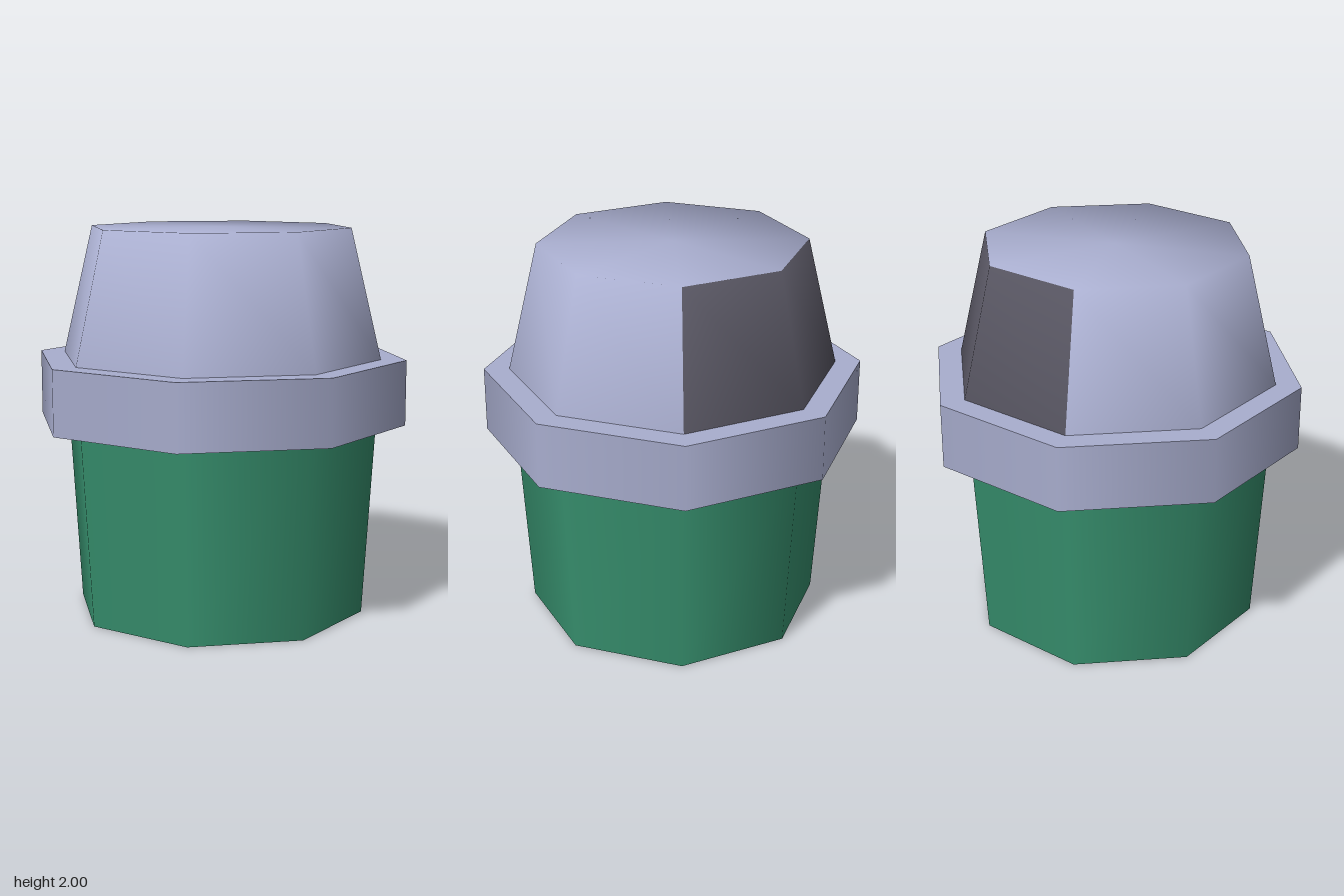
import * as THREE from 'three';

const SIDES = 8;

const material = (name, color) => {
  const m = new THREE.MeshStandardMaterial({ color });
  m.name = name;
  return m;
};

export function createModel() {
  const lavender = material('lavender', 0xa9aecf);
  const green = material('green', 0x37906e);
  const dark = material('dark grey', 0x55535f);

  const group = new THREE.Group();
  group.name = 'litterBin';
  const add = (name, geometry, mat, y = 0) => {
    const mesh = new THREE.Mesh(geometry, mat);
    mesh.name = name;
    mesh.position.y = y;
    group.add(mesh);
  };

  // Tapered octagonal body with its base plate
  add('body', new THREE.CylinderGeometry(0.82, 0.76, 1, SIDES, 1, true), green, 0.5);
  add('base', new THREE.CircleGeometry(0.76, SIDES).rotateX(Math.PI / 2), lavender);

  // Wide collar between body and lid
  add('collar', new THREE.CylinderGeometry(0.97, 0.97, 0.335, SIDES), lavender, 1.1675);

  // Lid with softly shaded top; each segment holds one side quad and one top wedge
  const profile = [[0.84, 1.335], [0.68, 2], [0, 2]].map(([r, y]) => new THREE.Vector2(r, y));
  const shell = new THREE.LatheGeometry(profile, SIDES);
  const all = Array.from(shell.index.array);
  const perSegment = all.length / SIDES;

  // The two side quads at the back form the dark opening
  const isOpening = (i) => {
    const segment = Math.floor(i / perSegment);
    return (segment === 3 || segment === 4) && i % perSegment < 6;
  };
  const pick = (test) => {
    const g = shell.clone();
    g.setIndex(all.filter((_, i) => test(i)));
    return g;
  };
  add('lid', pick((i) => !isOpening(i)), lavender);
  add('opening', pick(isOpening), dark);

  return group;
}
